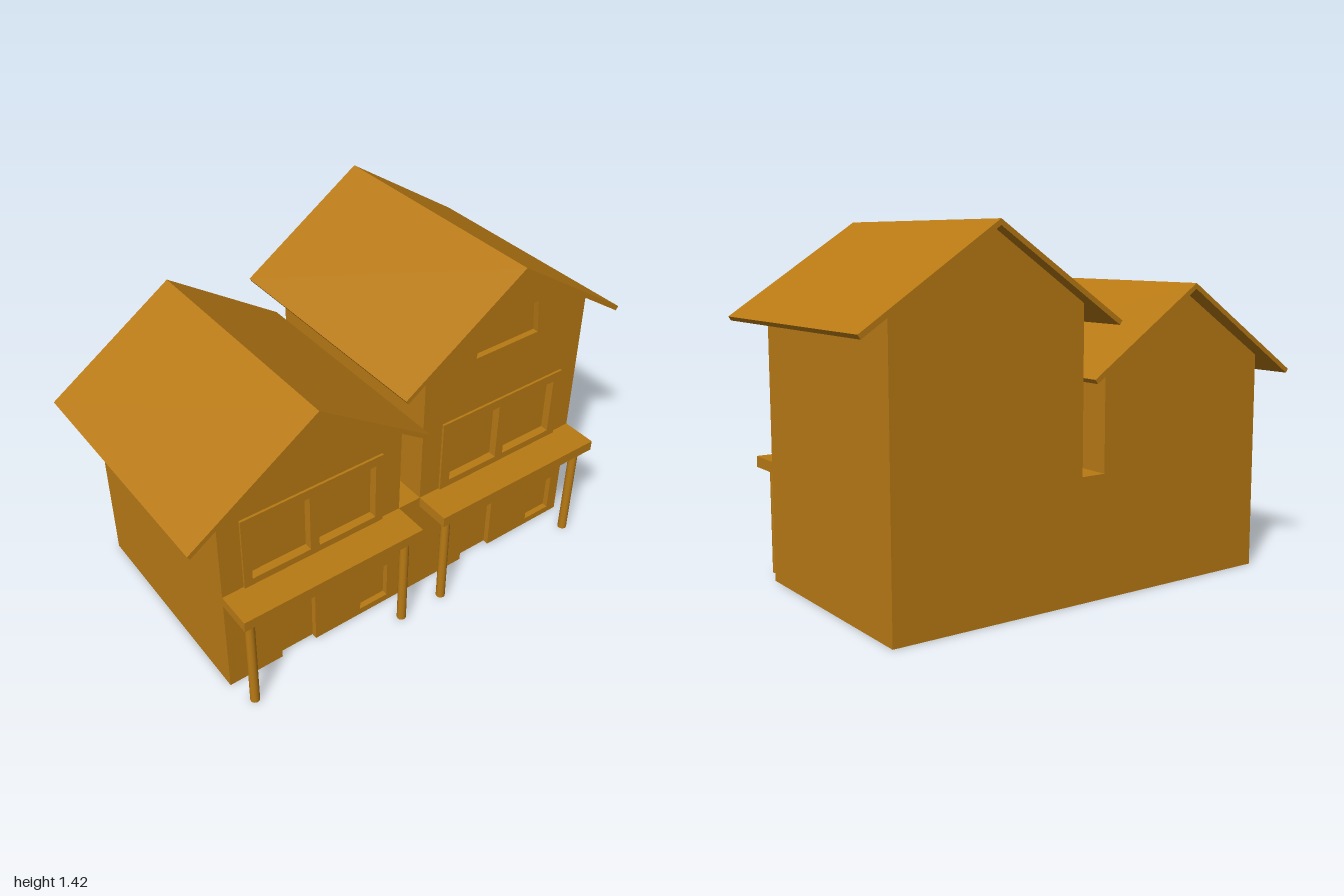
import * as THREE from 'three';

const material = new THREE.MeshStandardMaterial({ color: 0xb87a14, side: THREE.DoubleSide });
const FRONT = 0.42, BACK = -0.52, RECESS = 0.025;

function add(parent, name, geometry, x = 0, y = 0, z = 0) {
  const mesh = new THREE.Mesh(geometry, material);
  mesh.name = name;
  mesh.position.set(x, y, z);
  parent.add(mesh);
  return mesh;
}

const polygon = (points) => new THREE.Shape(points.map(([x, y]) => new THREE.Vector2(x, y)));
const rect = (x0, x1, y0, y1) => [[x0, y0], [x1, y0], [x1, y1], [x0, y1]];
const extrude = (shape, depth) => new THREE.ExtrudeGeometry(shape, { depth, bevelEnabled: false });

// Open shell swept from back to front along a profile
function sweep(profile, z0, z1) {
  const positions = [];
  for (let i = 0; i < profile.length - 1; i++) {
    const [ax, ay] = profile[i], [bx, by] = profile[i + 1];
    positions.push(ax, ay, z1, bx, by, z0, bx, by, z1, ax, ay, z1, ax, ay, z0, bx, by, z0);
  }
  const geometry = new THREE.BufferGeometry();
  geometry.setAttribute('position', new THREE.Float32BufferAttribute(positions, 3));
  geometry.computeVertexNormals();
  return geometry;
}

function createHouse(name, o) {
  const house = new THREE.Group();
  house.name = name;
  const { x0, x1, ridgeX, wallTop, peak, door, sideWindow, frame, panes, attic, roof, posts } = o;

  // Side walls and sloping ceiling, open at the bottom
  const gable = [[x1, 0], [x1, wallTop[1]], [ridgeX, peak], [x0, wallTop[0]], [x0, 0]];
  add(house, 'sideWalls', sweep(gable, BACK, FRONT));
  add(house, 'backWall', new THREE.ShapeGeometry(polygon(gable)), 0, 0, BACK);

  // Front wall with a doorway cut in its lower edge and recessed windows
  const [d0, d1, dh] = door;
  const front = polygon([[x0, 0], [d0, 0], [d0, dh], [d1, dh], [d1, 0], ...gable.slice(0, 4)]);
  const openings = [sideWindow, ...panes].map((r) => rect(...r));
  if (attic) openings.push(attic);
  openings.forEach((points) => front.holes.push(polygon(points)));
  add(house, 'frontWall', extrude(front, RECESS), 0, 0, FRONT - RECESS);

  // Panels set back in the openings
  add(house, 'door', new THREE.ShapeGeometry(polygon(rect(d0, d1, 0, dh))), 0, 0, FRONT - RECESS);
  openings.forEach((points) => {
    add(house, 'windowPane', new THREE.ShapeGeometry(polygon(points)), 0, 0, FRONT - RECESS);
  });

  // Raised frame around the paired upper windows
  const surround = polygon(rect(...frame));
  panes.forEach((r) => surround.holes.push(polygon(rect(...r))));
  add(house, 'windowFrame', extrude(surround, 0.01), 0, 0, FRONT);

  // Porch canopy and its posts
  add(house, 'canopy', new THREE.BoxGeometry(x1 - x0, 0.045, 0.15), (x0 + x1) / 2, 0.4625, 0.495);
  posts.forEach((x) => {
    add(house, 'porchPost', new THREE.CylinderGeometry(0.019, 0.019, 0.44, 16), x, 0.22, 0.53);
  });

  // Overhanging roof: a thin chevron running front to back
  const [left, top, right] = roof;
  const t = 0.0225, ex = 0.011, ey = 0.016;
  const chevron = polygon([left, [left[0] + ex, left[1] - ey], [top[0], top[1] - t],
    [right[0] - ex, right[1] - ey], right, top]);
  add(house, 'roof', extrude(chevron, 1.05), 0, 0, -0.57);
  return house;
}

export function createModel() {
  const model = new THREE.Group();
  model.name = 'twinHouses';

  model.add(createHouse('lowHouse', {
    x0: -0.855, x1: -0.05, ridgeX: -0.455, wallTop: [0.885, 0.885], peak: 1.15,
    door: [-0.615, -0.455, 0.24], sideWindow: [-0.235, -0.1, 0.03, 0.205],
    frame: [-0.765, -0.14, 0.485, 0.81],
    panes: [[-0.73, -0.475, 0.515, 0.77], [-0.435, -0.175, 0.515, 0.77]],
    roof: [[-1, 0.822], [-0.46, 1.188], [0.04, 0.85]],
    posts: [-0.813, -0.107],
  }));

  model.add(createHouse('tallHouse', {
    x0: 0.055, x1: 0.865, ridgeX: 0.455, wallTop: [1.125, 1.118], peak: 1.397,
    door: [0.3, 0.46, 0.24], sideWindow: [0.68, 0.815, 0.03, 0.205],
    frame: [0.15, 0.775, 0.485, 0.81],
    panes: [[0.195, 0.44, 0.515, 0.77], [0.48, 0.735, 0.515, 0.77]],
    attic: [[0.3, 1.055], [0.615, 1.055], [0.6, 1.2], [0.315, 1.2]],
    roof: [[-0.085, 1.06], [0.455, 1.422], [1, 1.06]],
    posts: [0.1, 0.807],
  }));

  // Solid block joining the two houses
  add(model, 'linkBlock', new THREE.BoxGeometry(0.105, 0.485, FRONT - BACK), 0.0025, 0.2425, (FRONT + BACK) / 2);
  return model;
}
